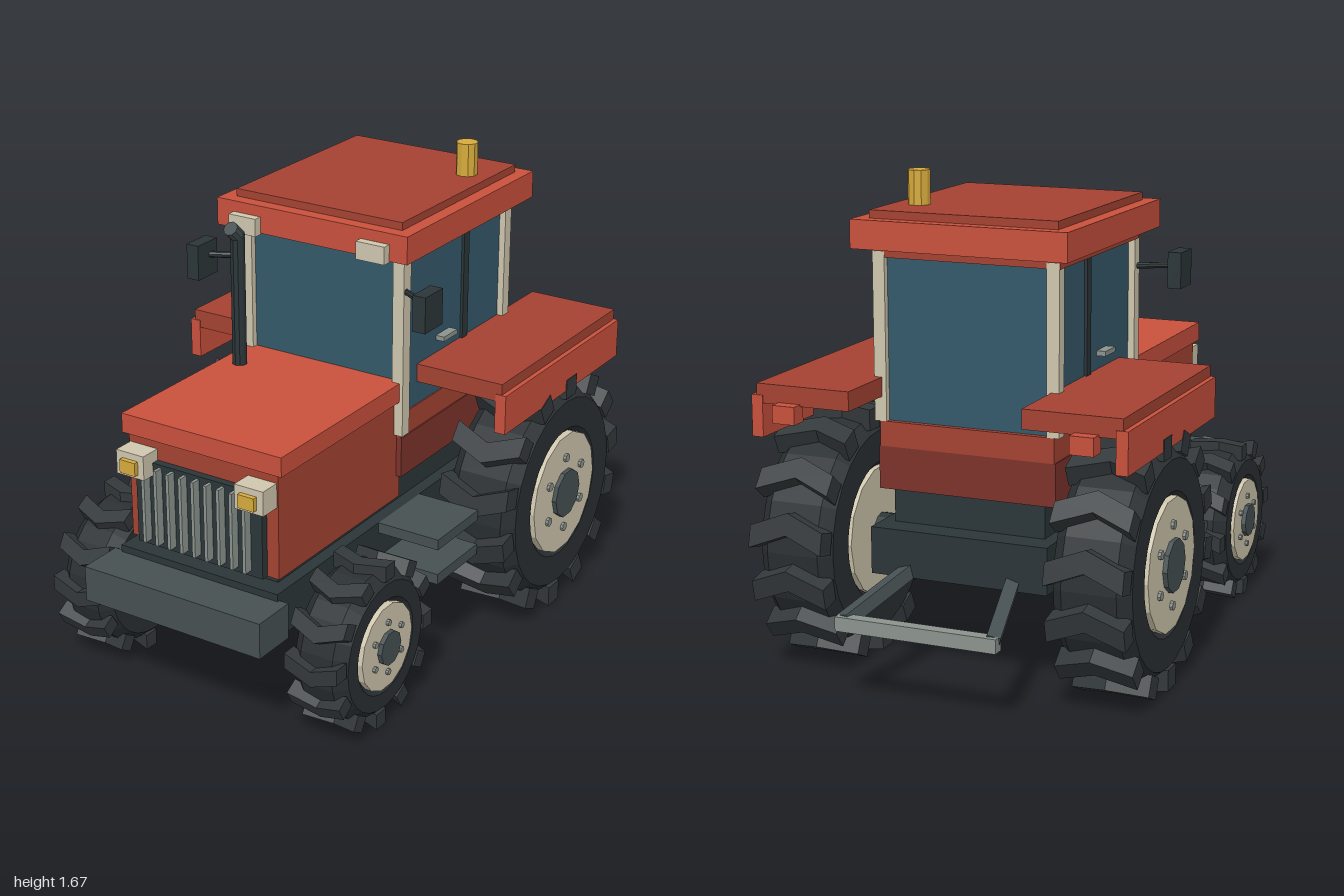
import * as THREE from 'three';
import { mergeGeometries } from 'three/addons/utils/BufferGeometryUtils.js';

const mat = (color) => new THREE.MeshStandardMaterial({ color, flatShading: true });
const M = {
  red: mat(0xc8503c), deepRed: mat(0xa44232), darkRed: mat(0x7c322b), cream: mat(0xcfc6ae),
  glass: mat(0x34596a), dark: mat(0x2b3538), steel: mat(0x465052), grey: mat(0x8c938e),
  tyre: mat(0x2a2f32), lug: mat(0x33383b), amber: mat(0xd6aa3c),
};

function add(parent, name, geometry, material) {
  const mesh = new THREE.Mesh(geometry, material);
  mesh.name = name;
  parent.add(mesh);
  return mesh;
}

// box given by its extents along each axis
function box(parent, name, material, [x0, x1], [y0, y1], [z0, z1]) {
  const mesh = add(parent, name, new THREE.BoxGeometry(Math.abs(x1 - x0), y1 - y0, Math.abs(z1 - z0)), material);
  mesh.position.set((x0 + x1) / 2, (y0 + y1) / 2, (z0 + z1) / 2);
  return mesh;
}

// straight bar or rod between two points
function rod(parent, name, material, a, b, r, sides = 8) {
  const from = new THREE.Vector3(...a), to = new THREE.Vector3(...b);
  const dir = to.clone().sub(from);
  const geo = new THREE.CylinderGeometry(r, r, dir.length(), sides);
  if (sides === 4) geo.rotateY(Math.PI / 4);
  const mesh = add(parent, name, geo, material);
  mesh.position.copy(from).add(to).multiplyScalar(0.5);
  mesh.quaternion.setFromUnitVectors(new THREE.Vector3(0, 1, 0), dir.normalize());
  return mesh;
}

// wheel with its axle along x and the outer face towards side
function wheel(parent, name, side, p) {
  const g = new THREE.Group();
  g.name = name;
  g.position.set(side * p.x, p.y, p.z);
  parent.add(g);
  const h = p.width / 2, R = p.body;

  // tyre carcass with bevelled shoulders
  const profile = [[p.rim, -h + 0.02], [p.rim + 0.02, -h], [R - 0.035, -h], [R, -h + 0.04],
    [R, h - 0.04], [R - 0.035, h], [p.rim + 0.02, h], [p.rim, h - 0.02]];
  const tyre = new THREE.LatheGeometry(profile.map(([r, y]) => new THREE.Vector2(r, y)), 28);
  add(g, 'tyre', tyre.rotateZ(-Math.PI / 2), M.tyre);

  // chevron tread lugs
  const t = p.lug / 2, s = p.sweep;
  const v = new THREE.Shape([[-h, s - t], [0, -t - s / 2], [h, s - t], [h, s + t], [0, t - s / 2], [-h, s + t]]
    .map(([x, y]) => new THREE.Vector2(x, y)));
  const lugs = [];
  for (let i = 0; i < p.count; i++) {
    const lug = new THREE.ExtrudeGeometry(v, { depth: p.outer - R + 0.025, bevelEnabled: false });
    lug.rotateX(-Math.PI / 2).translate(0, R - 0.025, 0).rotateX(Math.PI + i * 2 * Math.PI / p.count);
    lugs.push(lug.rotateY(Math.PI));
  }
  const tread = add(g, 'treadLugs', mergeGeometries(lugs), M.lug);
  tread.rotation.y = Math.PI;

  // rim, hub and wheel bolts
  const disc = (label, r, x0, x1, sides, m, y = 0, z = 0) => {
    const mesh = add(g, label, new THREE.CylinderGeometry(r, r, x1 - x0, sides).rotateZ(Math.PI / 2), m);
    mesh.position.set(side * (x0 + x1) / 2, y, z);
  };
  disc('rim', p.rim + 0.004, -h - 0.002, h + 0.006, 14, M.cream);
  disc('hub', p.hub, h, h + 0.022, 10, M.steel);
  for (let i = 0; i < 6; i++) {
    const a = i * Math.PI / 3;
    disc('wheelBolt', p.hub * 0.18, h, h + 0.016, 8, M.grey, Math.cos(a) * p.hub * 1.52, Math.sin(a) * p.hub * 1.52);
  }
}

export function createModel() {
  const tractor = new THREE.Group();
  tractor.name = 'tractor';

  // chassis and front weight
  box(tractor, 'chassis', M.dark, [-0.315, 0.315], [0.35, 0.51], [-0.67, 0.85]);
  box(tractor, 'engineBlock', M.dark, [-0.27, 0.27], [0.5, 0.64], [-0.58, 0.78]);
  box(tractor, 'frontWeight', M.steel, [-0.35, 0.35], [0.36, 0.485], [0.84, 1]);

  // hood and grille
  box(tractor, 'hoodBody', M.deepRed, [-0.295, 0.295], [0.54, 0.925], [0.085, 0.81]);
  box(tractor, 'hoodTop', M.red, [-0.315, 0.315], [0.91, 0.978], [0.09, 0.82]);
  box(tractor, 'grille', M.dark, [-0.25, 0.25], [0.54, 0.84], [0.8, 0.837]);
  for (let i = -4; i <= 4; i++) {
    box(tractor, 'grilleBar', M.grey, [i * 0.05 - 0.006, i * 0.05 + 0.006], [0.56, 0.83], [0.83, 0.868]);
  }

  // cab
  box(tractor, 'cabBase', M.darkRed, [-0.315, 0.315], [0.625, 0.77], [-0.6, 0.105]);
  box(tractor, 'cabSill', M.deepRed, [-0.31, 0.31], [0.77, 0.855], [-0.6, 0.105]);
  box(tractor, 'cabGlass', M.glass, [-0.305, 0.305], [0.85, 1.41], [-0.58, 0.1]);
  box(tractor, 'roofTrim', M.deepRed, [-0.33, 0.33], [1.4, 1.435], [-0.6, 0.11]);
  box(tractor, 'roof', M.red, [-0.378, 0.378], [1.432, 1.528], [-0.66, 0.187]);
  box(tractor, 'roofPanel', M.deepRed, [-0.33, 0.33], [1.52, 1.555], [-0.615, 0.14]);
  const beacon = add(tractor, 'beacon', new THREE.CylinderGeometry(0.038, 0.038, 0.12, 10), M.amber);
  beacon.position.set(0.24, 1.61, -0.43);

  // exhaust stack with tilted tip
  rod(tractor, 'exhaustPipe', M.dark, [-0.24, 0.96, 0.265], [-0.24, 1.45, 0.265], 0.026, 10);
  rod(tractor, 'exhaustTip', M.steel, [-0.24, 1.435, 0.26], [-0.24, 1.475, 0.303], 0.026, 10);

  for (const s of [1, -1]) {
    const tag = s > 0 ? 'left' : 'right';
    const side = new THREE.Group();
    side.name = tag + 'Side';
    tractor.add(side);
    const b = (name, m, [x0, x1], y, z) => box(side, name, m, [s * x0, s * x1], y, z);

    // headlights and roof lights
    b('headlightHousing', M.cream, [0.18, 0.29], [0.795, 0.88], [0.81, 0.885]);
    b('headlightLens', M.amber, [0.203, 0.265], [0.81, 0.857], [0.88, 0.902]);
    b('roofLight', M.cream, [0.2, 0.31], [1.428, 1.49], [0.18, 0.218]);

    // pillars, door bar and handle
    b('frontPillar', M.cream, [0.285, 0.328], [0.785, 1.42], [0.077, 0.122]);
    b('rearPillar', M.cream, [0.285, 0.328], [0.855, 1.42], [-0.602, -0.56]);
    b('doorBar', M.dark, [0.29, 0.315], [0.855, 1.4], [-0.33, -0.295]);
    b('doorHandle', M.grey, [0.3, 0.338], [1.05, 1.067], [-0.22, -0.13]);

    // mirror
    rod(side, 'mirrorArm', M.dark, [s * 0.315, 1.305, 0.1], [s * 0.445, 1.305, 0.17], 0.011);
    b('mirrorHead', M.dark, [0.43, 0.478], [1.23, 1.355], [0.125, 0.235]);

    // fender with outer skirt and tail light
    b('fenderTop', M.deepRed, [0.3, 0.635], [0.938, 1.003], [-0.838, -0.008]);
    b('fenderSkirt', M.red, [0.612, 0.652], [0.825, 0.965], [-0.842, -0.005]);
    b('tailLight', M.red, [0.475, 0.555], [0.885, 0.945], [-0.88, -0.82]);

    // access steps
    b('upperStep', M.steel, [0.3, 0.55], [0.472, 0.51], [-0.02, 0.247]);
    b('lowerStep', M.steel, [0.3, 0.55], [0.342, 0.38], [-0.02, 0.247]);

    // hitch arm
    rod(side, 'hitchArm', M.steel, [s * 0.185, 0.37, -0.65], [s * 0.26, 0.285, -0.975], 0.032, 4);

    wheel(side, tag + 'RearWheel', s, {
      x: 0.522, y: 0.433, z: -0.45, width: 0.265, body: 0.385, outer: 0.433,
      rim: 0.222, hub: 0.09, count: 14, lug: 0.075, sweep: 0.035,
    });
    wheel(side, tag + 'FrontWheel', s, {
      x: 0.475, y: 0.29, z: 0.613, width: 0.2, body: 0.26, outer: 0.29,
      rim: 0.148, hub: 0.06, count: 12, lug: 0.055, sweep: 0.025,
    });
  }

  rod(tractor, 'rearAxle', M.dark, [-0.45, 0.433, -0.45], [0.45, 0.433, -0.45], 0.06, 12);
  box(tractor, 'hitchBar', M.grey, [-0.28, 0.28], [0.257, 0.305], [-0.998, -0.955]);
  return tractor;
}
